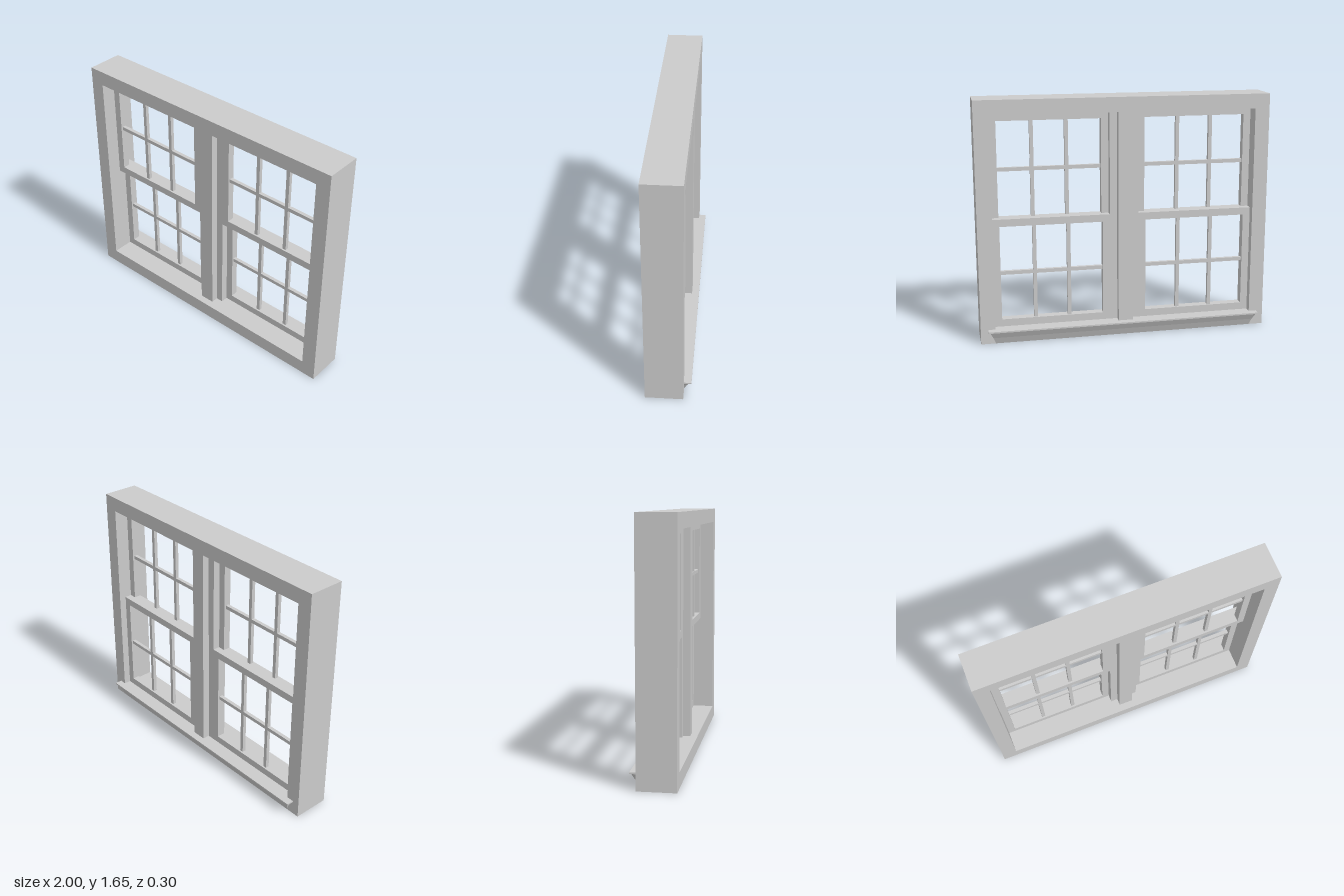
import * as THREE from 'three';

const material = new THREE.MeshStandardMaterial({ color: 0xcccccc, flatShading: true });

function addMesh(parent, name, geometry) {
  const mesh = new THREE.Mesh(geometry, material);
  mesh.name = name;
  parent.add(mesh);
  return mesh;
}

// Box given by its limits on each axis
function addBox(parent, name, [x0, x1], [y0, y1], [z0, z1]) {
  const mesh = addMesh(parent, name, new THREE.BoxGeometry(x1 - x0, y1 - y0, z1 - z0));
  mesh.position.set((x0 + x1) / 2, (y0 + y1) / 2, (z0 + z1) / 2);
  return mesh;
}

function rectangle(PathType, x0, x1, y0, y1) {
  return new PathType().moveTo(x0, y0).lineTo(x1, y0).lineTo(x1, y1).lineTo(x0, y1).closePath();
}

// Rectangular ring with an even border, from z0 to z1
function frameGeometry(x0, x1, y0, y1, border, z0, z1) {
  const shape = rectangle(THREE.Shape, x0, x1, y0, y1);
  shape.holes.push(rectangle(THREE.Path, x0 + border, x1 - border, y0 + border, y1 - border));
  return new THREE.ExtrudeGeometry(shape, { depth: z1 - z0, bevelEnabled: false }).translate(0, 0, z0);
}

// Sash with six panes, divided by two upright bars and one cross bar
function addSash(parent, name, x0, y0, z0) {
  const width = 0.8, height = 0.75, depth = 0.05, border = 0.05, bar = 0.0125;
  const sash = new THREE.Group();
  sash.name = name;
  parent.add(sash);
  addMesh(sash, 'sashFrame', frameGeometry(x0, x0 + width, y0, y0 + height, border, z0, z0 + depth));
  const zs = [z0 + depth / 2 - bar, z0 + depth / 2 + bar];
  for (const i of [1, 2]) {
    const x = x0 + border + (i * (width - 2 * border)) / 3;
    addBox(sash, 'uprightBar', [x - bar, x + bar], [y0 + border, y0 + height - border], zs);
  }
  const y = y0 + height / 2;
  addBox(sash, 'crossBar', [x0 + border, x0 + width - border], [y - bar, y + bar], zs);
}

// Sill moulding whose profile also returns around both ends
function sillGeometry() {
  const profile = [[0, 0], [0.0175, 0.045], [0.04, 0.09], [0.05, 0.09], [0.05, 0.1]]; // [overhang, y]
  const positions = [], index = [];
  for (const [out, y] of profile) {
    const x = 0.9 + out, z = -0.1 - out;
    positions.push(x, y, -0.1, x, y, z, -x, y, z, -x, y, -0.1);
  }
  for (let r = 0; r < profile.length - 1; r++) {
    for (let c = 0; c < 3; c++) {
      const a = r * 4 + c, b = a + 1, d = a + 4, e = a + 5;
      index.push(a, b, e, a, e, d);
    }
  }
  const t = (profile.length - 1) * 4;
  index.push(t, t + 1, t + 2, t, t + 2, t + 3);
  const geometry = new THREE.BufferGeometry();
  geometry.setAttribute('position', new THREE.Float32BufferAttribute(positions, 3));
  geometry.setIndex(index);
  const flat = geometry.toNonIndexed();
  flat.computeVertexNormals();
  return flat;
}

export function createModel() {
  const model = new THREE.Group();
  model.name = 'doubleSashWindow';

  // Outer frame
  addMesh(model, 'outerFrame', frameGeometry(-1, 1, 0, 1.65, 0.1, -0.1, 0.15));

  // Central post, with a shallower strip on each side
  addBox(model, 'centralPost', [-0.05, 0.05], [0.1, 1.55], [-0.1, 0.1]);
  addBox(model, 'postStripLeft', [0.05, 0.1], [0.1, 1.55], [-0.05, 0.05]);
  addBox(model, 'postStripRight', [-0.1, -0.05], [0.1, 1.55], [-0.05, 0.05]);

  // Upper sashes slide in front of the lower ones
  for (const [side, x0] of [['Left', 0.1], ['Right', -0.9]]) {
    addSash(model, 'upperSash' + side, x0, 0.8, 0);
    addSash(model, 'lowerSash' + side, x0, 0.1, -0.05);
  }

  // Inner sill at the back
  addMesh(model, 'sill', sillGeometry());
  return model;
}
